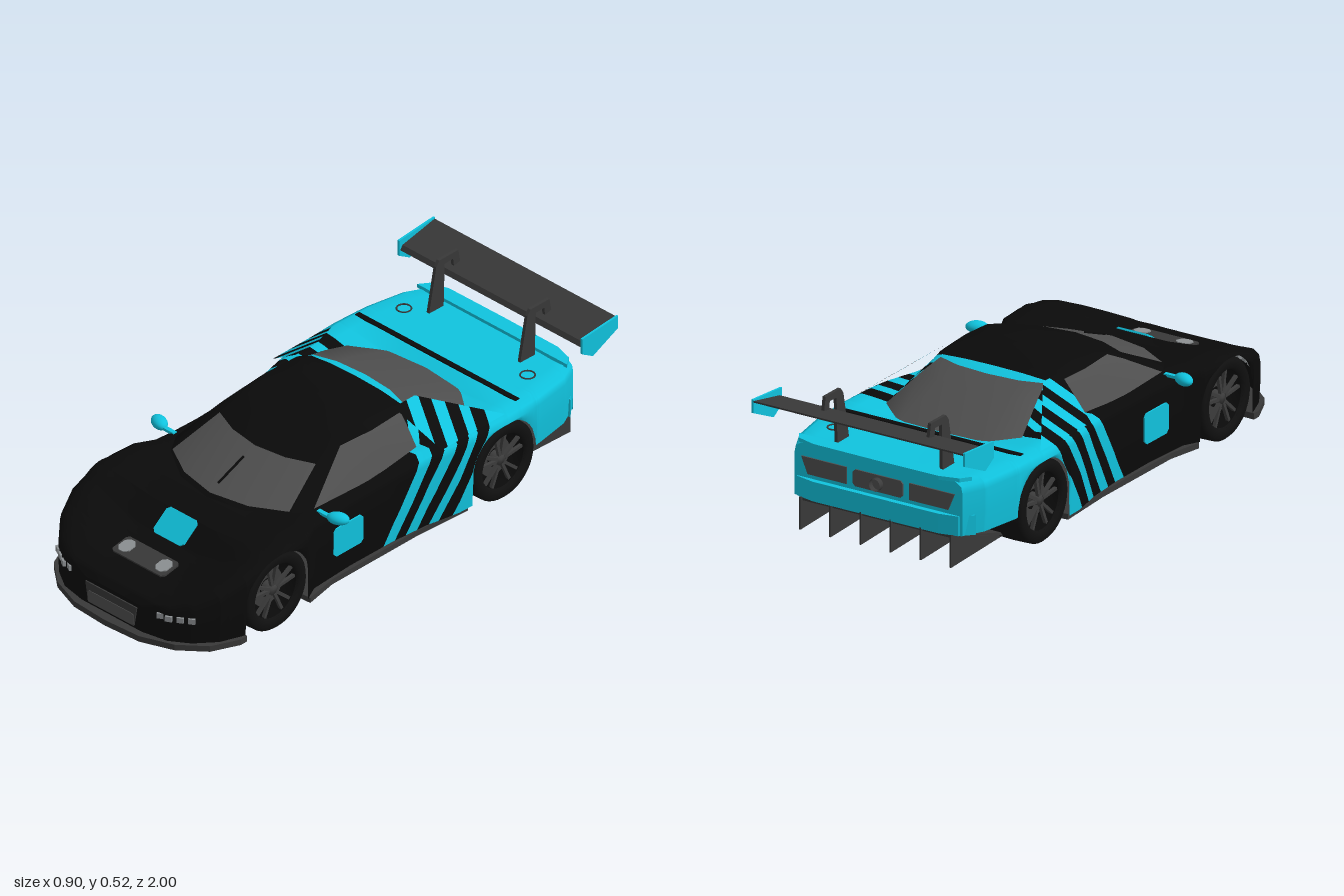
import * as THREE from 'three';

const mat = (name, color) => new THREE.MeshStandardMaterial({ name, color, side: THREE.DoubleSide });
const M = {
  black: mat('black paint', 0x0a0a0a), cyan: mat('cyan paint', 0x10c3de), glass: mat('tinted glass', 0x4e4e4e),
  carbon: mat('carbon', 0x383838), tyre: mat('tyre rubber', 0x101010), rim: mat('rim metal', 0x3c3c3c),
  lamp: mat('lamp lens', 0x8c9092),
};

// Value at z from a table of [z, value], front to back
function at(table, z) {
  for (let i = 1; i < table.length; i++) {
    const [z0, a] = table[i - 1], [z1, b] = table[i];
    if (z >= z1) return a + (b - a) * Math.min(1, (z0 - z) / (z0 - z1));
  }
  return table[table.length - 1][1];
}

function add(parent, name, geometry, material, x = 0, y = 0, z = 0) {
  const mesh = new THREE.Mesh(geometry, material);
  mesh.name = name;
  mesh.position.set(x, y, z);
  parent.add(mesh);
  return mesh;
}
const box = (w, h, d) => new THREE.BoxGeometry(w, h, d);
const prism = (pts, depth) => new THREE.ExtrudeGeometry(
  new THREE.Shape(pts.map(p => new THREE.Vector2(...p))), { depth, bevelEnabled: false }).translate(0, 0, -depth / 2);
// Side outline [z, y] extruded across x
const prismX = (pts, width) => prism(pts, width).rotateY(-Math.PI / 2);
// Half plan outline [x, z], mirrored, extruded down from y = top
const prismY = (half, top, depth) => prism(
  [...half, ...half.slice().reverse().filter(p => p[0] > 0).map(([x, z]) => [-x, z])], depth)
  .rotateX(Math.PI / 2).translate(0, top - depth / 2, 0);
// Plate with clipped corners
function plate(w, h, c) {
  const a = w / 2, b = h / 2;
  return prism([[-a + c, -b], [a - c, -b], [a, -b + c], [a, b - c], [a - c, b], [-a + c, b], [-a, b - c], [-a, -b + c]], 0.006);
}

// Diagonal livery: alternating black and cyan bands of z + 0.6 y
const EDGES = [9, 0.07, 0.017, -0.03, -0.08, -0.13, -0.17, -0.225, -9];
const slant = v => v[2] + 0.6 * v[1];
function clip(poly, limit, sign) {
  const out = [];
  poly.forEach((a, i) => {
    const b = poly[(i + 1) % poly.length];
    const da = (slant(a) - limit) * sign, db = (slant(b) - limit) * sign;
    if (da >= 0) out.push(a);
    if ((da > 0 && db < 0) || (da < 0 && db > 0)) out.push(a.map((v, k) => v + (b[k] - v) * da / (da - db)));
  });
  return out;
}

// Skin between cross-sections, cut cleanly into painted parts
function shell(parent, name, rows, closed = false, isGlass = () => false) {
  const n = rows[0].length, index = [], glassTri = [];
  for (let i = 0; i < rows.length - 1; i++) for (let j = 0; j < (closed ? n : n - 1); j++) {
    const a = i * n + j, b = i * n + (j + 1) % n;
    index.push(a, b, a + n, b, b + n, a + n);
    glassTri.push(isGlass(i, j), isGlass(i, j));
  }
  const g = new THREE.BufferGeometry();
  g.setAttribute('position', new THREE.Float32BufferAttribute(rows.flat(2), 3));
  g.setIndex(index);
  g.computeVertexNormals();
  const P = g.attributes.position, N = g.attributes.normal, buckets = { black: [], cyan: [], glass: [] };
  const fan = (poly, key) => {
    for (let k = 2; k < poly.length; k++) buckets[key].push(poly[0], poly[k - 1], poly[k]);
  };
  glassTri.forEach((glass, t) => {
    const tri = index.slice(t * 3, t * 3 + 3).map(v =>
      [P.getX(v), P.getY(v), P.getZ(v), N.getX(v), N.getY(v), N.getZ(v)]);
    if (glass) return fan(tri, 'glass');
    for (let k = 0; k < 8; k++) fan(clip(clip(tri, EDGES[k], -1), EDGES[k + 1], 1), k % 2 ? 'cyan' : 'black');
  });
  for (const key in buckets) if (buckets[key].length) {
    const part = new THREE.BufferGeometry();
    part.setAttribute('position', new THREE.Float32BufferAttribute(buckets[key].flatMap(v => v.slice(0, 3)), 3));
    part.setAttribute('normal', new THREE.Float32BufferAttribute(buckets[key].flatMap(v => v.slice(3)), 3));
    add(parent, `${name} ${key}`, part, M[key]);
  }
}

const WIDTH = [[0.965, 0.14], [0.945, 0.24], [0.9, 0.31], [0.83, 0.37], [0.74, 0.405], [0.6, 0.412], [0.45, 0.405], [0.38, 0.37],
  [0.2, 0.36], [0, 0.362], [-0.15, 0.375], [-0.28, 0.4], [-0.5, 0.407], [-0.65, 0.4], [-0.8, 0.375], [-0.88, 0.335]];
const FENDER = [[0.965, 0.15], [0.945, 0.175], [0.9, 0.2], [0.83, 0.235], [0.74, 0.275], [0.65, 0.305], [0.55, 0.318],
  [0.45, 0.316], [0.3, 0.312], [0, 0.318], [-0.2, 0.33], [-0.35, 0.338], [-0.6, 0.338], [-0.8, 0.333], [-0.88, 0.33]];
const HOOD = [[0.965, 0.15], [0.945, 0.172], [0.9, 0.185], [0.8, 0.2], [0.7, 0.222], [0.62, 0.285], [0.52, 0.305],
  [0.3, 0.3], [-0.5, 0.312], [-0.57, 0.335], [-0.88, 0.33]];
const AXLES = [0.59, -0.49], HUB = 0.147, ARCH = 0.151;

// Body cross-section at z, with the lower edge rising over the wheels
function section(z) {
  const w = at(WIDTH, z), f = at(FENDER, z), h = at(HOOD, z);
  let low = z < -0.6 ? 0.14 : 0.045;
  for (const c of AXLES) if (Math.abs(z - c) < ARCH) low = HUB + Math.sqrt(ARCH ** 2 - (z - c) ** 2);
  const side = Math.max(f - 0.04, low);
  const half = [[0, h], [0.35 * w, h + (f - h) * 0.04], [0.6 * w, (h + f) / 2], [0.8 * w, f - 0.003], [0.92 * w, f],
    [0.985 * w, Math.max(f - 0.015, low)], [w, side], [w, (side + low) / 2], [0.985 * w, low]];
  return [...half.slice(1).reverse().map(([x, y]) => [-x, y, z]), ...half.map(([x, y]) => [x, y, z])];
}

function buildBody(car) {
  const stations = [...WIDTH, ...HOOD].map(p => p[0]);
  for (let z = 0.95; z > -0.88; z -= 0.015) stations.push(z);
  for (const c of AXLES) for (const s of [-1, 1]) stations.push(c + s * (ARCH - 0.0005), c + s * (ARCH + 0.0005));
  const rows = [...new Set(stations)].sort((a, b) => b - a).map(section);
  shell(car, 'body', rows);
  for (const [name, row] of [['nose', rows[0]], ['tail', rows[rows.length - 1]]]) {
    const y = name === 'nose' ? 0.045 : 0.14;
    shell(car, name, [row, row.map(p => [p[0], y, p[2]])]);
  }
  add(car, 'front wheel housing', box(0.46, 0.15, 0.36), M.black, 0, 0.125, 0.6);
  add(car, 'rear wheel housing', box(0.46, 0.24, 0.36), M.black, 0, 0.165, -0.48);
}

// Cabin as stacked plan rings: [y, front z, rear z, half width, corner depth]
function buildCabin(car) {
  const levels = [[0.295, 0.53, -0.56, 0.335, 1], [0.315, 0.5, -0.54, 0.328, 1], [0.4, 0.285, -0.33, 0.27, 0.6],
    [0.43, 0.2, -0.24, 0.245, 0.45], [0.452, 0.13, -0.17, 0.22, 0.35], [0.465, 0.02, -0.08, 0.14, 0.2], [0.467, -0.03, -0.03, 0, 0]];
  const rows = levels.map(([y, f, r, w, k]) => {
    const half = [[0, f], [0.45 * w, f - 0.03 * k], [0.82 * w, f - 0.1 * k], [0.96 * w, f - 0.17 * k],
      [w, (f - 0.17 * k + Math.max(-0.16, r + 0.09 * k)) / 2], [0.97 * w, Math.max(-0.16, r + 0.09 * k)],
      [0.85 * w, r + 0.08 * k], [0.5 * w, r + 0.02 * k], [0, r]];
    return [...half, ...half.slice(1, 8).reverse().map(([x, z]) => [-x, z])].map(([x, z]) => [x, y, z]);
  });
  shell(car, 'cabin', rows, true, (i, j) => {
    const q = j < 8 ? j : 15 - j;
    if (q < 2) return i === 1;
    return (q === 3 || q === 4 || q > 5) && (i === 1 || i === 2);
  });
  add(car, 'wiper', box(0.006, 0.006, 0.13), M.black, 0, 0.358, 0.4).rotation.x = 0.38;
  // Flying buttresses
  for (const s of [-1, 1]) shell(car, 'buttress', [
    [[s * 0.225, 0.452, -0.14], [s * 0.39, 0.33, -0.2]], [[s * 0.225, 0.452, -0.24], [s * 0.39, 0.33, -0.5]]]);
}

function buildWheel(car, side, z) {
  const wheel = new THREE.Group();
  wheel.name = 'wheel';
  const lathe = pts => new THREE.LatheGeometry(pts.map(p => new THREE.Vector2(...p)), 40).rotateZ(-Math.PI / 2);
  add(wheel, 'tyre', lathe([[0.1, 0.065], [0.108, 0.078], [0.134, 0.078], [0.145, 0.066], [0.147, 0],
    [0.145, -0.066], [0.134, -0.078], [0.1, -0.078]]), M.tyre);
  add(wheel, 'rim barrel', lathe([[0, 0.02], [0.095, 0.025], [0.103, 0.07]]), M.black);
  add(wheel, 'brake disc', lathe([[0.035, 0.03], [0.07, 0.03]]), M.rim);
  add(wheel, 'hub', lathe([[0, 0.06], [0.02, 0.058], [0.025, 0.025]]), M.rim);
  for (let i = 0; i < 10; i++) {
    const spoke = add(wheel, 'spoke', box(0.012, 0.082, 0.011).translate(0, 0.06, 0), M.rim, 0.054);
    spoke.rotation.x = (Math.floor(i / 2) + (i % 2 ? 0.17 : -0.17)) * Math.PI * 2 / 5;
  }
  wheel.position.set(side * 0.322, HUB, z);
  if (side < 0) wheel.rotation.y = Math.PI;
  car.add(wheel);
}

function buildAero(car) {
  add(car, 'splitter', prismY([[0, 1], [0.15, 0.99], [0.27, 0.945], [0.36, 0.87], [0.405, 0.77], [0.405, 0.74], [0, 0.74]], 0.048, 0.022), M.carbon);
  add(car, 'floor', prismY([[0, 0.76], [0.24, 0.76], [0.24, 0.44], [0.395, 0.43], [0.37, 0.3], [0.37, -0.1], [0.385, -0.33],
    [0.24, -0.34], [0.24, -0.6], [0, -0.6]], 0.046, 0.02), M.carbon);
  add(car, 'diffuser ramp', prismX([[-0.58, 0.035], [-0.89, 0.13], [-0.89, 0.14], [-0.58, 0.047]], 0.6), M.carbon);
  for (const x of [-0.3, -0.18, -0.06, 0.06, 0.18, 0.3])
    add(car, 'diffuser fin', prismX([[-0.6, 0.04], [-0.9, 0.028], [-0.9, 0.145]], 0.006), M.carbon, x);
  add(car, 'wing', prismX([[-0.835, 0.445], [-0.85, 0.442], [-0.93, 0.458], [-0.998, 0.487], [-0.998, 0.493], [-0.92, 0.477], [-0.845, 0.462]], 0.84), M.carbon);
  for (const s of [-1, 1]) {
    add(car, 'wing endplate', prismX([[-0.83, 0.485], [-1, 0.498], [-1, 0.45], [-0.88, 0.395], [-0.83, 0.425]], 0.008), M.cyan, s * 0.422);
    add(car, 'wing mount', prismX([[-0.75, 0.325], [-0.785, 0.5], [-0.8, 0.52], [-0.89, 0.52], [-0.9, 0.465], [-0.87, 0.46],
      [-0.865, 0.497], [-0.825, 0.495], [-0.82, 0.325]], 0.012), M.carbon, s * 0.21);
  }
}

function buildDetails(car) {
  // Nose
  add(car, 'hood panel', plate(0.14, 0.102, 0.012), M.cyan, 0, 0.2575, 0.6625).rotation.x = -0.904;
  add(car, 'hood vent', plate(0.24, 0.085, 0.01), M.carbon, 0, 0.205, 0.805).rotation.x = -1.4;
  add(car, 'intake', prism([[-0.105, 0.058], [0.105, 0.058], [0.118, 0.135], [-0.118, 0.135]], 0.008), M.carbon, 0, 0, 0.966);
  add(car, 'intake grille', plate(0.21, 0.045, 0.005), M.glass, 0, 0.083, 0.969);
  // Tail
  add(car, 'rear bumper', prismY([[0, -0.9], [0.25, -0.9], [0.32, -0.885], [0.362, -0.84], [0, -0.84]], 0.21, 0.07), M.cyan);
  add(car, 'tail lip', prismY([[0, -0.897], [0.25, -0.895], [0.32, -0.875], [0.345, -0.84], [0, -0.84]], 0.343, 0.014), M.cyan);
  add(car, 'rear grille', plate(0.2, 0.06, 0.01), M.glass, 0, 0.255, -0.882);
  add(car, 'exhaust', new THREE.CylinderGeometry(0.022, 0.022, 0.03, 20, 1, true).rotateX(Math.PI / 2), M.rim, 0, 0.255, -0.89);
  add(car, 'deck seam', box(0.74, 0.008, 0.02), M.black, 0, 0.336, -0.58);
  for (const s of [-1, 1]) {
    add(car, 'hood vent slot', plate(0.05, 0.06, 0.015), M.lamp, s * 0.085, 0.209, 0.805).rotation.x = -1.4;
    // Headlamps follow the rounded nose
    for (let i = 0; i < 4; i++) {
      const x = 0.207 + i * 0.033, z = [0.949, 0.944, 0.923, 0.902][i];
      add(car, 'headlamp', box(0.024, 0.02, 0.02), M.lamp, s * x, 0.139, z - 0.003).rotation.y = s * 0.5;
    }
    add(car, 'tail lamp', prism([[0.125, 0.225], [0.28, 0.225], [0.305, 0.285], [0.125, 0.285]].map(([x, y]) => [s * x, y]), 0.006), M.glass, 0, 0, -0.882);
    add(car, 'deck cap', new THREE.TorusGeometry(0.025, 0.003, 6, 24).rotateX(Math.PI / 2), M.carbon, s * 0.285, 0.334, -0.715);
    add(car, 'door panel', plate(0.14, 0.11, 0.012), M.cyan, s * 0.366, 0.18, 0.22).rotation.y = Math.PI / 2;
    // Mirrors
    const mirror = add(car, 'mirror', new THREE.SphereGeometry(1, 20, 12), M.cyan, s * 0.412, 0.315, 0.315);
    mirror.scale.set(0.04, 0.021, 0.026);
    mirror.rotation.y = s * 0.4;
    add(car, 'mirror stalk', box(0.07, 0.01, 0.016), M.cyan, s * 0.365, 0.312, 0.325);
  }
}

export function createModel() {
  const car = new THREE.Group();
  car.name = 'race car';
  buildBody(car);
  buildCabin(car);
  for (const z of AXLES) for (const side of [-1, 1]) buildWheel(car, side, z);
  buildAero(car);
  buildDetails(car);
  return car;
}
